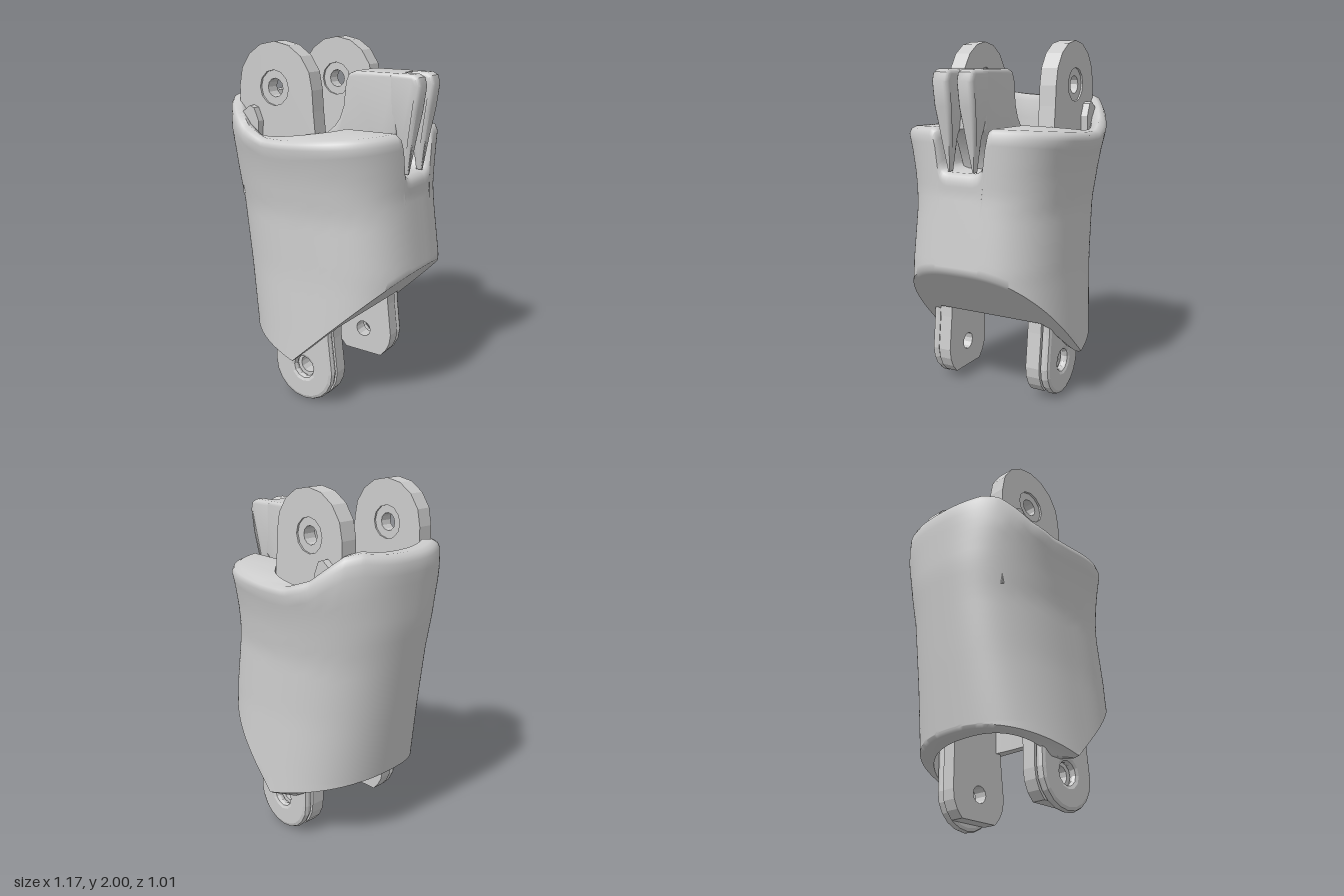
import * as THREE from 'three';
import { toCreasedNormals } from 'three/addons/utils/BufferGeometryUtils.js';

const material = new THREE.MeshStandardMaterial({ color: 0xcccccc });
const { lerp, smoothstep } = THREE.MathUtils;

// Piecewise linear lookup in [key, value] pairs
function along(pairs, k) {
  if (k <= pairs[0][0]) return pairs[0][1];
  for (let i = 1; i < pairs.length; i++) {
    const [k0, v0] = pairs[i - 1], [k1, v1] = pairs[i];
    if (k <= k1) return lerp(v0, v1, (k - k0) / (k1 - k0));
  }
  return pairs[pairs.length - 1][1];
}

// Sleeve outline by height: back edge, nose edge, half width, cavity back; rim height by x; notch depth by z
const backX = [[0.27, -0.43], [0.4, -0.445], [0.8, -0.505], [1.3, -0.575], [1.6, -0.587], [1.7, -0.58]];
const noseX = [[0.27, 0.58], [0.8, 0.575], [1.2, 0.525], [1.55, 0.525]];
const halfZ = [[0.27, 0.485], [0.4, 0.475], [0.75, 0.45], [1.1, 0.44], [1.3, 0.465], [1.42, 0.49], [1.5, 0.513], [1.7, 0.51]];
const cavityX = [[0.4, -0.33], [0.55, -0.36], [0.75, -0.43], [1.6, -0.485]];
const rimY = [[-0.6, 1.68], [-0.52, 1.705], [-0.46, 1.69], [-0.4, 1.64], [-0.3, 1.56], [-0.15, 1.51], [0, 1.51], [0.52, 1.55]];
const notch = [[0.09, 0], [0.12, 0.04], [0.14, 0.12], [0.15, 0.25], [0.158, 0.75], [0.166, 0.93], [0.185, 1]];
const slopeX = (y) => 0.01 + (y - 0.26) * 1.05; // slanted underside

function oval(angle, x0, x1, hz) {
  const c = Math.cos(angle), s = Math.sin(angle), e = 2 / (c > 0 ? 2.8 : 2.4);
  return [(x0 + x1) / 2 + (x1 - x0) / 2 * Math.sign(c) * Math.abs(c) ** e, hz * Math.sign(s) * Math.abs(s) ** e];
}

const wall = (angle, y, inset = 0) =>
  oval(angle, along(backX, y) + inset, along(noseX, y) - inset, along(halfZ, y) - inset);

function outer(angle, y, inset = 0) {
  const [x, z] = wall(angle, y, inset);
  return [Math.min(x, slopeX(y)), y, z];
}

// The cavity keeps the notch sides parallel near the nose
function inner(angle, y, inset = 0) {
  const [x, z] = oval(angle, along(cavityX, y) + inset, 0.19 - inset, 0.41 - inset);
  const [xo, zo] = wall(angle, 1.5);
  const keep = xo > 0.2 ? 1 - smoothstep(Math.abs(zo), 0.2, 0.42) : 0;
  return [Math.min(x, slopeX(y) - 0.04), y, lerp(z, zo, keep)];
}

// Height at which the wall meets the slanted underside
function ridgeHeight(angle, bottom) {
  let lo = bottom, hi = 0.95;
  for (let i = 0; i < 24; i++) {
    const mid = (lo + hi) / 2;
    if (wall(angle, mid)[0] > slopeX(mid)) lo = mid; else hi = mid;
  }
  return Math.max(lo, bottom + 0.06);
}

// Hollow sleeve: each column runs up the outside, over the rim and down the inside
function sleeveGeometry() {
  const angles = Array.from({ length: 144 }, (_, i) => (i / 144) * Math.PI * 2);
  for (const z of [0.02, 0.065, 0.105, 0.12, 0.13, 0.14, 0.146, 0.15, 0.158, 0.166, 0.175, 0.19]) {
    const a = Math.asin((z / 0.513) ** 1.4);
    angles.push(a, Math.PI * 2 - a);
  }
  angles.sort((a, b) => a - b);
  const points = [], index = [], columns = angles.length;
  let ring = 0;
  for (const a of angles) {
    const [xTop, zTop] = wall(a, 1.5), [xLow, zLow] = oval(a, -0.445, 0.57, 0.475);
    let top = along(rimY, xTop);
    if (xTop > 0.2) top = lerp(1.315, top, along(notch, Math.abs(zTop)));
    const bottom = xLow < 0
      ? 0.26 - 0.29 * xLow
      : lerp(0.47, 0.26, smoothstep(Math.abs(zLow), 0.35, 0.46));
    const ridge = ridgeHeight(a, bottom);
    const column = [outer(a, bottom, 0.02)];
    for (let j = 0; j < 10; j++) column.push(outer(a, lerp(bottom + 0.012, ridge, j / 10)));
    for (let j = 0; j <= 20; j++) column.push(outer(a, lerp(ridge, top - 0.045, j / 20)));
    column.push(outer(a, top - 0.015, 0.012), outer(a, top, 0.04), inner(a, top), inner(a, top - 0.04, 0.01));
    for (let j = 1; j <= 12; j++) column.push(inner(a, lerp(top - 0.04, bottom, j / 12), 0.01));
    ring = column.length;
    points.push(...column.flat());
  }
  for (let i = 0; i < columns; i++) {
    for (let j = 0; j < ring; j++) {
      const n = (i + 1) % columns, k = (j + 1) % ring;
      const p = i * ring + j, q = i * ring + k, r = n * ring + j, s = n * ring + k;
      index.push(p, q, r, r, q, s);
    }
  }
  const g = new THREE.BufferGeometry();
  g.setAttribute('position', new THREE.Float32BufferAttribute(points, 3));
  g.setIndex(index);
  return toCreasedNormals(g, 1);
}

function add(parent, name, geometry) {
  const mesh = new THREE.Mesh(geometry, material);
  mesh.name = name;
  parent.add(mesh);
}

const outline = (pts) => new THREE.Shape(pts.map(([x, y]) => new THREE.Vector2(x, y)));

// Slab between two z values, optionally bevelled inside its own outline
function slab(shape, z0, z1, bevel = 0, bevelSegments = 3) {
  const g = new THREE.ExtrudeGeometry(shape, {
    depth: z1 - z0 - 2 * bevel, curveSegments: 6, bevelEnabled: bevel > 0,
    bevelSize: bevel, bevelThickness: bevel, bevelOffset: -bevel, bevelSegments,
  });
  return g.translate(0, 0, z0 + bevel);
}

function withHole(shape, x, y, r) {
  const hole = new THREE.Path();
  hole.absarc(x, y, r, 0, Math.PI * 2, true);
  shape.holes.push(hole);
  return shape;
}

// Points on an arc, angles in degrees
function arc(x, y, r, from, to, n) {
  return Array.from({ length: n + 1 }, (_, i) => {
    const a = THREE.MathUtils.degToRad(lerp(from, to, i / n));
    return [x + r * Math.cos(a), y + r * Math.sin(a)];
  });
}

// Moves z of every vertex by a rule of x, y and z
function reshapeZ(g, rule) {
  const p = g.attributes.position;
  for (let i = 0; i < p.count; i++) p.setZ(i, rule(p.getX(i), p.getY(i), p.getZ(i)));
  g.computeVertexNormals();
  return g;
}

// Upper hinge plate with a recessed pin hole and a rib joining it to the sleeve
function upperHinge(side, z0, z1) {
  const group = new THREE.Group();
  group.name = side + 'UpperHinge';
  const plate = [[-0.41, 1.15], [0.1, 1.15], [0.1, 1.5], [0.085, 1.65], ...arc(-0.165, 1.76, 0.243, 0, 180, 8), [-0.41, 1.6]];
  add(group, 'hingePlate', slab(withHole(outline(plate), -0.17, 1.76, 0.095), z0, z1));
  const seat = outline(arc(-0.17, 1.76, 0.096, 0, 345, 23));
  add(group, 'pinSeat', slab(withHole(seat, -0.17, 1.76, 0.05), z0 + 0.01, z1 - 0.012));
  const out = z0 > 0 ? [z1 - 0.01, z1 + 0.04] : [z0 - 0.04, z0 + 0.01];
  const rib = [[-0.38, 1.42], [-0.26, 1.42], [-0.25, 1.58], [-0.28, 1.65], [-0.31, 1.66], [-0.38, 1.61]];
  add(group, 'hingeRib', slab(outline(rib), ...out));
  return group;
}

// Lower hinge lug: flat-ended inner body and a round bevelled outer lip
function lowerHinge(side, zIn, zOut) {
  const group = new THREE.Group();
  group.name = side + 'LowerHinge';
  const order = (a, b) => [Math.min(a, b), Math.max(a, b)];
  const mid = lerp(zIn, zOut, 0.6);
  const round = (from, to, n) => arc(0.033, 0.2, 0.2, from, to, n);
  const top = [[0.19, 0.75], [-0.17, 0.75]];
  const lip = [...top, ...round(180, 360, 10), [0.21, 0.4]];
  const body = [...top, ...round(180, 230, 3), ...round(310, 360, 3), [0.21, 0.4]];
  add(group, 'lugBody', slab(withHole(outline(body), 0.035, 0.2, 0.05), ...order(zIn, mid)));
  add(group, 'lugLip', slab(withHole(outline(lip), 0.035, 0.2, 0.06), ...order(mid, zOut), 0.024, 2));
  return group;
}

export function createModel() {
  const model = new THREE.Group();
  model.name = 'hingedSleeve';
  add(model, 'sleeve', sleeveGeometry());

  model.add(upperHinge('front', 0.255, 0.352), upperHinge('rear', -0.335, -0.236));
  model.add(lowerHinge('front', 0.27, 0.4), lowerHinge('rear', -0.24, -0.38));

  // Cord guide: block, flared ramp into the sleeve, and two tapering prongs
  const guide = new THREE.Group();
  guide.name = 'cordGuide';
  model.add(guide);
  const block = [[0, 1.25], [0.28, 1.25], [0.3, 1.32], [0.36, 1.46], [0.45, 1.54], [0.45, 1.85], [0.19, 1.85], [0.15, 1.835],
    [0.13, 1.79], [0.115, 1.66], [0.09, 1.59], [0.06, 1.55], [0, 1.5]];
  add(guide, 'guideBlock', toCreasedNormals(slab(outline(block), -0.115, 0.125, 0.02), 0.6));

  // Ramp stations: x, top, underside, half width
  const ramp = [[-0.165, 1.4, 1.28, 0.175], [-0.08, 1.45, 1.26, 0.137], [0.03, 1.5, 1.25, 0.118]];
  for (let i = 1; i < ramp.length; i++) {
    const [x0, t0, u0, w0] = ramp[i - 1], [x1, t1, u1, w1] = ramp[i];
    const piece = slab(outline([[x0, u0], [x1, u1], [x1, t1], [x0, t0]]), -1, 1);
    add(guide, 'guideRamp', reshapeZ(piece, (x, y, z) => 0.004 + z * along([[x0, w0], [x1, w1]], x)));
  }

  const prong = [[0.4, 1.85], [0.54, 1.85], [0.57, 1.835], [0.583, 1.79], [0.565, 1.66], [0.535, 1.5], [0.505, 1.32],
    [0.47, 1.32], [0.45, 1.5], [0.4, 1.62]];
  for (const side of [1, -1]) {
    const z = side > 0 ? [0.028, 0.128] : [-0.118, -0.022];
    const g = reshapeZ(slab(outline(prong), ...z, 0.025), (x, y, v) =>
      lerp(side * 0.075, v, smoothstep(y, 1.2, 1.7)));
    add(guide, side > 0 ? 'frontProng' : 'rearProng', toCreasedNormals(g, 0.6));
  }
  return model;
}
